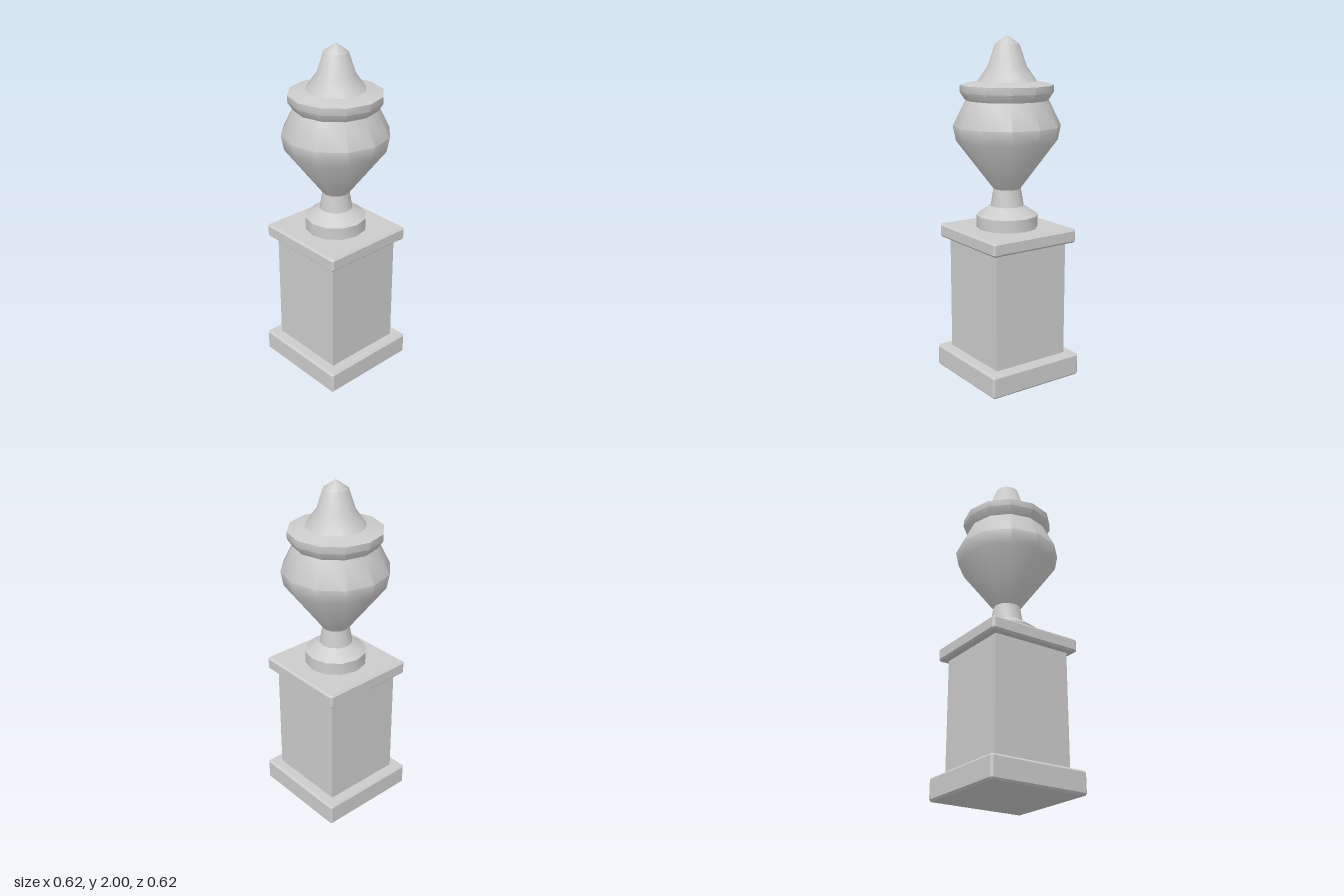
import * as THREE from 'three';
import { toCreasedNormals } from 'three/addons/utils/BufferGeometryUtils.js';
import { ConvexGeometry } from 'three/addons/geometries/ConvexGeometry.js';

const SIDES = 12;

export function createModel() {
  const group = new THREE.Group();
  group.name = 'urnOnPedestal';
  const material = new THREE.MeshStandardMaterial({ color: 0xcccccc });

  function add(name, geometry, y = 0) {
    const mesh = new THREE.Mesh(geometry, material);
    mesh.name = name;
    mesh.position.y = y;
    group.add(mesh);
  }

  // Twelve-sided turned part; profile runs upward as [radius, y]
  function turned(name, profile, crease) {
    const points = profile.map(([r, y]) => new THREE.Vector2(r, y));
    add(name, toCreasedNormals(new THREE.LatheGeometry(points, SIDES), crease));
  }

  // Square slab with every edge and corner chamfered
  function slab(name, half, bottom, top, bevel) {
    const h = (top - bottom) / 2;
    const points = [];
    for (const sx of [-1, 1]) for (const sy of [-1, 1]) for (const sz of [-1, 1]) {
      for (let axis = 0; axis < 3; axis++) {
        const inset = (i) => (i === axis ? 0 : bevel);
        points.push(new THREE.Vector3(
          sx * (half - inset(0)), sy * (h - inset(1)), sz * (half - inset(2))));
      }
    }
    add(name, new ConvexGeometry(points), (bottom + top) / 2);
  }

  // Square pedestal
  slab('pedestalBase', 0.307, 0, 0.135, 0.012);
  add('pedestalShaft', new THREE.BoxGeometry(0.485, 0.71, 0.485), 0.475);
  slab('pedestalCap', 0.288, 0.82, 0.902, 0.012);

  // Urn, from foot to finial
  turned('urnFoot', [[0.18, 0.895], [0.18, 0.975], [0.097, 1.03]], 0.6);
  turned('urnStem', [[0.097, 1.03], [0.08, 1.13]], 0.6);
  turned('urnBody', [[0.08, 1.13], [0.293, 1.41], [0.31, 1.495], [0.238, 1.64]], 0.75);
  turned('urnLip', [[0.238, 1.64], [0.268, 1.685], [0.268, 1.725], [0.17, 1.745]], 0.6);
  turned('lidFinial', [[0.17, 1.745], [0.11, 1.83], [0.07, 1.95], [0, 2]], 0.7);

  return group;
}
